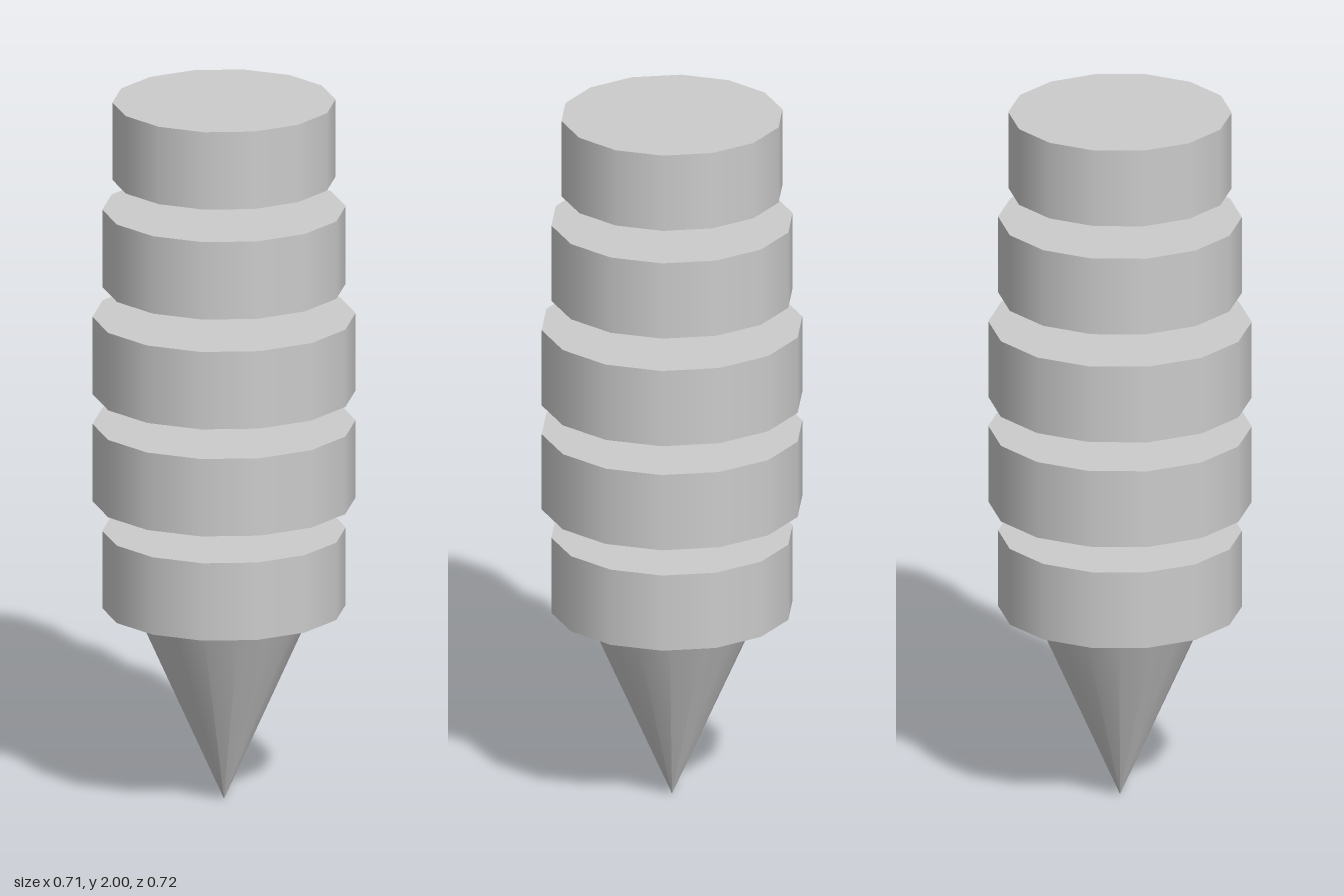
import * as THREE from 'three';

export function createModel() {
  const model = new THREE.Group();
  const material = new THREE.MeshStandardMaterial({ color: 0xcccccc });

  const discHeight = 0.222;
  const pitch = 0.307;
  const bottom = 0.551;

  // Floating stack of fourteen-sided discs, listed from the lowest up
  const radii = [0.335, 0.362, 0.362, 0.335, 0.307];
  radii.forEach((radius, i) => {
    const disc = new THREE.Mesh(new THREE.CylinderGeometry(radius, radius, discHeight, 14), material);
    disc.name = `disc${i + 1}`;
    disc.position.y = bottom + i * pitch + discHeight / 2;
    model.add(disc);
  });

  // Pointed tip, apex down, under the lowest disc
  const tip = new THREE.Mesh(new THREE.CylinderGeometry(0.245, 0, bottom, 16), material);
  tip.name = 'pointedTip';
  tip.position.y = bottom / 2;
  model.add(tip);

  return model;
}
